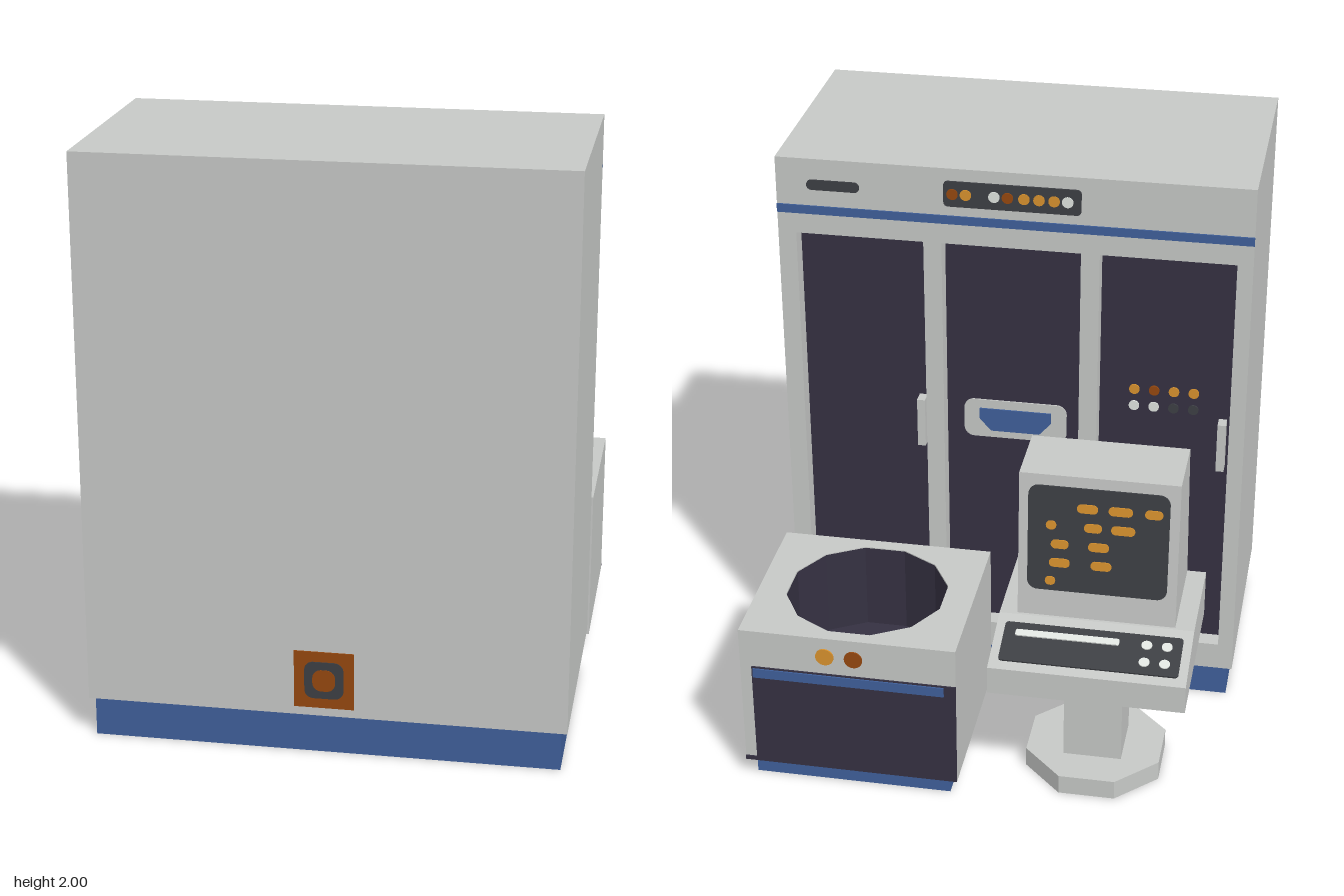
import * as THREE from 'three';

const mat = (name, color, extra = {}) => new THREE.MeshStandardMaterial({ name, color, ...extra });

export function createModel() {
  const grey = mat('cabinet grey', 0xc6c8c6);
  const blue = mat('trim blue', 0x3f5f9a);
  const navy = mat('dark panel', 0x353142, { side: THREE.DoubleSide });
  const charcoal = mat('charcoal', 0x3d3f44);
  const amber = mat('amber light', 0xd8922e);
  const rust = mat('rust orange', 0x96480f);
  const white = mat('key white', 0xe0e4e0);

  const model = new THREE.Group();
  const group = (name, parent = model) => {
    const g = new THREE.Group();
    g.name = name;
    parent.add(g);
    return g;
  };
  const add = (parent, name, geo, m) => {
    const mesh = new THREE.Mesh(geo, m);
    mesh.name = name;
    parent.add(mesh);
    return mesh;
  };
  // Box given by its limits on each axis
  const box = (parent, name, m, x0, x1, y0, y1, z0, z1) => {
    const mesh = add(parent, name, new THREE.BoxGeometry(x1 - x0, y1 - y0, z1 - z0), m);
    mesh.position.set((x0 + x1) / 2, (y0 + y1) / 2, (z0 + z1) / 2);
    return mesh;
  };
  const polygon = (pts) => new THREE.Shape(pts.map(([x, y]) => new THREE.Vector2(x, y)));
  const rect = (x0, x1, y0, y1) => polygon([[x0, y0], [x1, y0], [x1, y1], [x0, y1]]);
  const roundRect = (w, h, r) => {
    const s = new THREE.Shape(), a = w / 2 - r, b = h / 2 - r;
    s.absarc(a, b, r, 0, Math.PI / 2);
    s.absarc(-a, b, r, Math.PI / 2, Math.PI);
    s.absarc(-a, -b, r, Math.PI, Math.PI * 1.5);
    s.absarc(a, -b, r, Math.PI * 1.5, Math.PI * 2);
    s.closePath();
    return s;
  };
  const extrude = (shape, depth) =>
    new THREE.ExtrudeGeometry(shape, { depth, bevelEnabled: false, curveSegments: 4 });
  // Thin plate whose face looks towards -z
  const plate = (parent, name, m, shape, x, y, z, depth = 0.006) => {
    const mesh = add(parent, name, extrude(shape, depth), m);
    mesh.rotation.y = Math.PI;
    mesh.position.set(x, y, z);
    return mesh;
  };
  const pill = (parent, name, m, x, y, z, w, h = w) =>
    plate(parent, name, m, roundRect(w, h, Math.min(w, h) * 0.49), x, y, z, 0.005);
  // Side profile of [z, y] points drawn out along x
  const profile = (parent, name, m, pts, x0, x1) => {
    const geo = extrude(polygon(pts), x1 - x0);
    geo.rotateY(-Math.PI / 2);
    geo.translate(x1, 0, 0);
    return add(parent, name, geo, m);
  };

  // Tall cabinet with three recessed doors
  const cabinet = group('cabinet');
  box(cabinet, 'cabinetBase', blue, -0.78, 0.78, 0, 0.135, -0.01, 0.77);
  box(cabinet, 'cabinetBody', grey, -0.8, 0.8, 0.135, 2, 0.02, 0.78);
  const doors = [[0.302, 0.738], [-0.23, 0.24], [-0.747, -0.293]];
  const frame = rect(-0.8, 0.8, 0.135, 2);
  doors.forEach(([a, b]) => {
    frame.holes.push(rect(a, b, 0.235, 1.73));
    box(cabinet, 'doorPanel', navy, a, b, 0.235, 1.73, 0.012, 0.02);
  });
  add(cabinet, 'doorFrame', extrude(frame, 0.07), grey).position.z = -0.05;
  for (const x of [0.325, -0.72]) box(cabinet, 'doorHandle', grey, x - 0.014, x + 0.014, 0.94, 1.12, -0.035, 0.015);
  box(cabinet, 'stripe', blue, -0.8, 0.8, 1.803, 1.833, -0.055, -0.049);

  // Header details
  pill(cabinet, 'slot', charcoal, 0.605, 1.909, -0.05, 0.18, 0.036);
  plate(cabinet, 'lightPanel', charcoal, roundRect(0.46, 0.09, 0.015), 0, 1.912, -0.05);
  [[0.2, rust], [0.155, amber], [0.06, white], [0.015, rust], [-0.04, amber], [-0.09, amber], [-0.14, amber], [-0.185, white]]
    .forEach(([x, m]) => pill(cabinet, 'headerLight', m, x, 1.912, -0.054, 0.038));

  // Reader window on the middle door
  plate(cabinet, 'readerPlate', grey, roundRect(0.36, 0.145, 0.035), 0, 1.047, 0.013);
  plate(cabinet, 'readerWindow', blue,
    polygon([[-0.085, -0.045], [0.085, -0.045], [0.125, 0], [0.125, 0.04], [-0.125, 0.04], [-0.125, 0]]), 0, 1.047, 0.008);

  // Indicator rows on the third door
  [[1.21, [amber, rust, amber, amber]], [1.147, [white, white, charcoal, charcoal]]].forEach(([y, row]) =>
    row.forEach((m, i) => pill(cabinet, 'indicator', m, -0.413 - i * 0.068, y, 0.012, 0.036)));

  // Square badge on the plain side
  box(cabinet, 'badgePlate', rust, -0.1, 0.1, 0.165, 0.365, 0.778, 0.784);
  add(cabinet, 'badgeRing', extrude(roundRect(0.13, 0.13, 0.03), 0.004), charcoal).position.set(0, 0.265, 0.783);
  add(cabinet, 'badgeCentre', extrude(roundRect(0.076, 0.076, 0.03), 0.003), rust).position.set(0, 0.265, 0.786);

  // Disk drive with a round well in its top
  const drive = group('diskDrive');
  const cx = 0.43, cz = -0.465, wellR = 0.277, wellDepth = 0.32;
  box(drive, 'driveBase', blue, 0.09, 0.77, 0, 0.07, -0.75, -0.18);
  box(drive, 'driveLower', grey, 0.06, 0.8, 0.07, 0.6 - wellDepth, -0.78, -0.15);
  const top = rect(-0.37, 0.37, -0.315, 0.315);
  top.holes.push(polygon(Array.from({ length: 12 }, (_, i) => {
    const a = (i + 0.5) * Math.PI / 6;
    return [wellR * Math.cos(a), wellR * Math.sin(a)];
  })));
  const upper = add(drive, 'driveUpper', extrude(top, wellDepth), grey);
  upper.rotation.x = -Math.PI / 2;
  upper.position.set(cx, 0.6 - wellDepth, cz);
  const wall = add(drive, 'wellWall',
    new THREE.CylinderGeometry(wellR - 0.002, wellR - 0.002, wellDepth - 0.002, 12, 1, true, Math.PI / 12).toNonIndexed(), navy);
  wall.geometry.computeVertexNormals();
  wall.position.set(cx, 0.599 - wellDepth / 2, cz);
  const floor = add(drive, 'wellFloor', new THREE.CircleGeometry(wellR, 12, Math.PI / 12), navy);
  floor.rotation.x = -Math.PI / 2;
  floor.position.set(cx, 0.603 - wellDepth, cz);
  box(drive, 'frontPanel', navy, 0.06, 0.76, 0.07, 0.46, -0.785, -0.779);
  box(drive, 'frontSill', navy, 0.76, 0.8, 0.07, 0.085, -0.785, -0.779);
  box(drive, 'frontStripe', blue, 0.1, 0.755, 0.42, 0.455, -0.79, -0.784);
  pill(drive, 'amberButton', amber, 0.505, 0.528, -0.78, 0.062);
  pill(drive, 'rustButton', rust, 0.407, 0.528, -0.78, 0.062);

  // Terminal: foot, post and wedge-shaped desk
  const terminal = group('terminal');
  const foot = add(terminal, 'foot', new THREE.CylinderGeometry(0.25, 0.25, 0.07, 8, 1, false, Math.PI / 8).toNonIndexed(), grey);
  foot.geometry.computeVertexNormals();
  foot.position.set(-0.37, 0.035, -0.46);
  box(terminal, 'post', grey, -0.47, -0.27, 0.07, 0.44, -0.56, -0.36);
  profile(terminal, 'desk', grey, [[-0.75, 0.43], [-0.15, 0.43], [-0.15, 0.6], [-0.52, 0.6], [-0.75, 0.53]], -0.7, -0.04);
  profile(terminal, 'monitor', grey, [[-0.51, 0.6], [-0.15, 0.6], [-0.23, 1.13], [-0.48, 1.13]], -0.635, -0.1);

  // Keyboard lying on the sloped front of the desk
  const keyboard = group('keyboard', terminal);
  keyboard.position.set(0, 0.53, -0.75);
  keyboard.rotation.x = Math.atan2(0.23, 0.07);
  plate(keyboard, 'keyPanel', charcoal, roundRect(0.6, 0.165, 0.012), -0.37, 0.118, 0);
  plate(keyboard, 'spaceBar', white, roundRect(0.35, 0.026, 0.006), -0.285, 0.155, -0.005);
  for (const x of [-0.62, -0.552]) for (const y of [0.083, 0.155]) pill(keyboard, 'key', white, x, y, -0.005, 0.036);

  // Screen on the leaning face of the monitor, with lit marks
  const screen = group('screen', terminal);
  screen.position.set(0, 0.6, -0.51);
  screen.rotation.x = Math.atan2(0.03, 0.53);
  plate(screen, 'screenGlass', charcoal, roundRect(0.47, 0.39, 0.035), -0.367, 0.297, 0);
  [[0.42, [[-0.33, 0.07], [-0.44, 0.08], [-0.55, 0.06]]],
    [0.35, [[-0.21, 0.035], [-0.35, 0.06], [-0.45, 0.08]]],
    [0.28, [[-0.24, 0.06], [-0.37, 0.07]]],
    [0.21, [[-0.24, 0.07], [-0.38, 0.07]]],
    [0.14, [[-0.21, 0.035]]]]
    .forEach(([y, row]) => row.forEach(([x, w]) => pill(screen, 'screenMark', amber, x, y, -0.005, w, 0.032)));

  return model;
}
